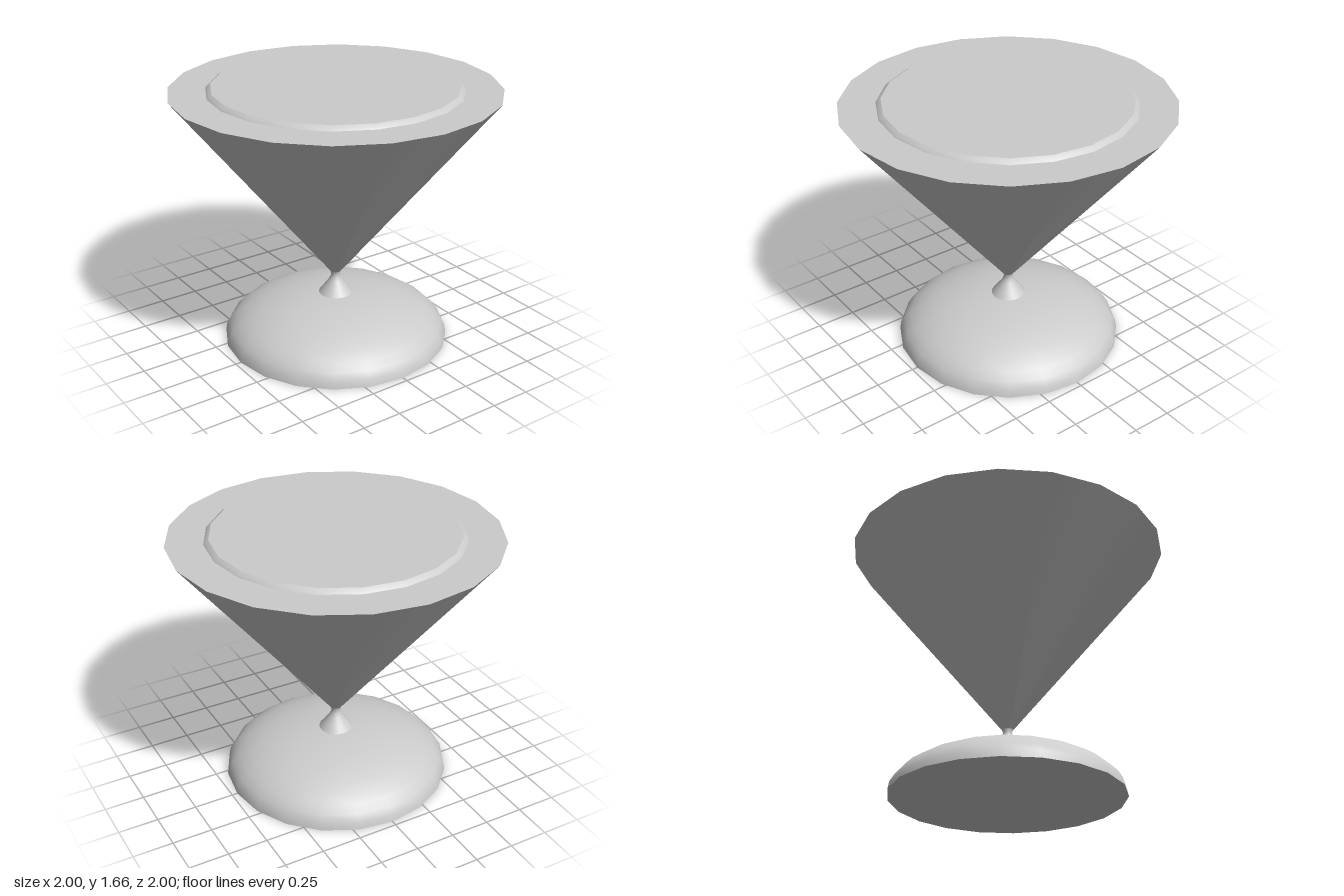
import * as THREE from 'three';

const SIDES = 20;
const material = new THREE.MeshStandardMaterial({ color: 0xcccccc });

// Turned part: each profile runs bottom to top and is smooth; separate profiles meet at a sharp edge.
function turned(name, ...profiles) {
  const group = new THREE.Group();
  group.name = name;
  profiles.forEach((profile, i) => {
    const points = profile.map(([r, y]) => new THREE.Vector2(r, y));
    const mesh = new THREE.Mesh(new THREE.LatheGeometry(points, SIDES), material);
    mesh.name = `${name}Surface${i + 1}`;
    group.add(mesh);
  });
  return group;
}

export function createModel() {
  const model = new THREE.Group();
  model.name = 'pedestalStand';

  // Domed foot: half an ellipse on a flat underside
  const dome = [];
  for (let i = 0; i <= 10; i++) {
    const a = (i / 10) * Math.PI / 2;
    dome.push([i === 10 ? 0 : 0.715 * Math.cos(a), 0.29 * Math.sin(a)]);
  }
  model.add(turned('foot', [[0, 0], [0.715, 0]], dome));

  // Flared neck narrowing to the waist
  model.add(turned('neck', [
    [0.112, 0.28], [0.075, 0.33], [0.045, 0.37], [0.032, 0.395], [0.028, 0.415], [0.034, 0.435],
  ]));

  // Wide cone with a flat top
  model.add(turned('cone', [[0.034, 0.435], [1, 1.64]], [[1, 1.64], [0, 1.64]]));

  // Shallow bevelled disc on the top
  model.add(turned('topDisc', [[0.775, 1.64], [0.765, 1.652], [0.745, 1.665]], [[0.745, 1.665], [0, 1.665]]));

  return model;
}
